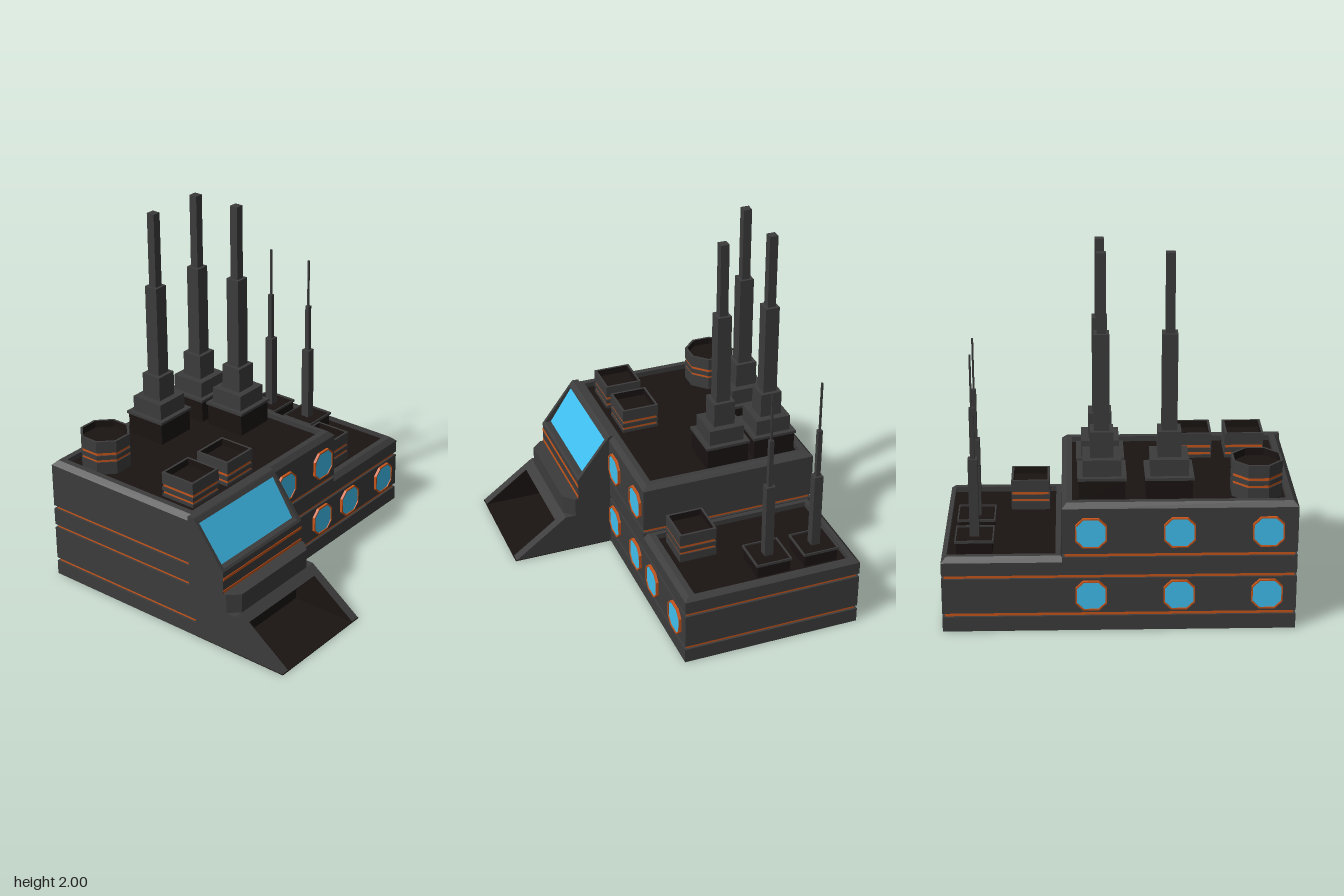
import * as THREE from 'three';

const mat = (color, side = THREE.FrontSide) =>
  new THREE.MeshStandardMaterial({ color, side, flatShading: true });
const GREY = mat(0x3c3c3c), DARK = mat(0x1a1412), ORANGE = mat(0xc8551a), BLUE = mat(0x40c0f0);

export function createModel() {
  const model = new THREE.Group();
  const add = (name, geo, material, parent = model) => {
    const mesh = new THREE.Mesh(geo, material);
    mesh.name = name;
    parent.add(mesh);
    return mesh;
  };
  const group = (name, x, y, z) => {
    const g = new THREE.Group();
    g.name = name;
    g.position.set(x, y, z);
    model.add(g);
    return g;
  };
  // Box given by its limits
  const block = (name, m, x0, x1, y0, y1, z0, z1, parent) =>
    add(name, new THREE.BoxGeometry(x1 - x0, y1 - y0, z1 - z0), m, parent)
      .position.set((x0 + x1) / 2, (y0 + y1) / 2, (z0 + z1) / 2);
  const shapeOf = pts => new THREE.Shape(pts.map(p => new THREE.Vector2(p[0], p[1])));
  // Side profile of [z, y] points, extruded between x0 and x1
  const profile = (name, m, pts, x0, x1) => {
    const geo = new THREE.ExtrudeGeometry(shapeOf(pts), { depth: x1 - x0, bevelEnabled: false });
    add(name, geo.rotateY(-Math.PI / 2).translate(x1, 0, 0), m);
  };
  // Skin through rectangular loops [x0, x1, z0, z1, y]
  const loft = (name, m, loops) => {
    const pos = [], idx = [];
    loops.forEach(([x0, x1, z0, z1, y]) => pos.push(x0, y, z1, x1, y, z1, x1, y, z0, x0, y, z0));
    for (let l = 0; l < loops.length - 1; l++)
      for (let i = 0; i < 4; i++) {
        const a = l * 4 + i, b = l * 4 + (i + 1) % 4;
        idx.push(a, b, b + 4, a, b + 4, a + 4);
      }
    const geo = new THREE.BufferGeometry();
    geo.setAttribute('position', new THREE.Float32BufferAttribute(pos, 3));
    geo.setIndex(idx);
    const flat = geo.toNonIndexed();
    flat.computeVertexNormals();
    add(name, flat, m);
  };

  // Walls in layers, with orange strips set into the grooves
  const L = -0.93, R = 0.925, T = 0.295, B = -0.79, F = 0.22, g = 0.012;
  const strip = (x1, y0, y1) => block('grooveStrip', ORANGE, L + g, x1 - g, y0, y1, B + g, F - g);
  block('foundation', GREY, L, R, 0, 0.083, B, F);
  strip(R, 0.083, 0.104);
  block('lowerWall', GREY, L, R, 0.104, 0.3, B, F);
  strip(R, 0.3, 0.32);
  block('middleWall', GREY, L, T, 0.32, 0.42, B, F);
  strip(T, 0.42, 0.44);

  // Chamfered parapets around the sunken roofs
  const parapet = (name, x0, x1, yBase, yTop, inner, roofY) => {
    const c = 0.027;
    loft(name, GREY, [
      [x0, x1, B, F, yBase], [x0, x1, B, F, yTop - c],
      [x0 + c, x1 - c, B + c, F - c, yTop], [...inner, yTop], [...inner, roofY]]);
    block(name + 'Roof', DARK, inner[0], inner[1], yBase, roofY, inner[2], inner[3]);
  };
  parapet('tallParapet', L, T, 0.44, 0.72, [-0.87, 0.24, -0.73, 0.16], 0.69);
  parapet('lowParapet', 0.275, R, 0.32, 0.42, [0.33, 0.896, -0.735, 0.16], 0.39);
  block('upperFloor', GREY, L, T, 0.44, 0.445, B, F);
  block('lowFloor', GREY, T, R, 0.32, 0.325, B, F);

  // Octagonal windows on the front and back walls
  const octagon = (w, h, c) => [[-w, c - h], [c - w, -h], [w - c, -h], [w, c - h],
    [w, h - c], [w - c, h], [c - w, h], [-w, h - c]];
  const windowAt = (x, y, back) => {
    const win = group('window', x, y, back ? B : F);
    if (back) win.rotation.y = Math.PI;
    const rim = shapeOf(octagon(0.082, 0.083, 0.04));
    rim.holes.push(shapeOf(octagon(0.075, 0.076, 0.037)));
    add('windowFrame', new THREE.ExtrudeGeometry(rim, { depth: 0.015, bevelEnabled: false }), ORANGE, win);
    add('windowPane', new THREE.ExtrudeGeometry(shapeOf(octagon(0.076, 0.077, 0.037)),
      { depth: 0.01, bevelEnabled: false }), BLUE, win);
  };
  for (const x of [-0.16, 0.18, 0.445, 0.785]) windowAt(x, 0.205, false);
  for (const x of [-0.16, 0.18]) windowAt(x, 0.56, false);
  for (const x of [-0.775, -0.315, 0.145]) for (const y of [0.205, 0.56]) windowAt(x, y, true);

  // Front wing with a sloped, sunken picture window between two cheeks
  const E = -0.263;
  const cheek = [[0.18, 0.23], [0.41, 0.23], [0.41, 0.466], [0.222, 0.715], [0.215, 0.72], [0.18, 0.72]];
  profile('wingCheek', GREY, cheek, L, -0.91);
  profile('wingCheek', GREY, cheek, -0.285, E);
  profile('wingBody', GREY, [[0.18, 0.23], [0.41, 0.23], [0.41, 0.466], [0.4, 0.478], [0.36, 0.478],
    [0.224, 0.69], [0.24, 0.692], [0.222, 0.715], [0.215, 0.72], [0.18, 0.72]], -0.91, -0.285);
  profile('pictureWindow', BLUE, [[0.35, 0.479], [0.365, 0.479], [0.229, 0.69], [0.214, 0.69]], -0.909, -0.286);
  for (const y of [0.343, 0.416]) block('wingStrip', ORANGE, L + 0.001, E - 0.001, y, y + 0.016, 0.38, 0.413);

  // Lintel block with cut corners above the entrance
  const plan = [[L, -0.3], [E, -0.3], [E, -0.43], [-0.32, -0.49], [-0.875, -0.49], [L, -0.43]];
  add('lintelBlock', new THREE.ExtrudeGeometry(shapeOf(plan), { depth: 0.11, bevelEnabled: false })
    .rotateX(-Math.PI / 2).translate(0, 0.23, 0), GREY);

  // Sloped entrance with a dark, open inside
  const wedge = [[0.22, 0.003], [0.797, 0.003], [0.49, 0.23], [0.22, 0.23]];
  const lining = [[0.22, 0.003], [0.795, 0.003], [0.543, 0.19], [0.22, 0.19]];
  profile('entranceSide', GREY, wedge, L, -0.88);
  profile('entranceSide', GREY, wedge, -0.315, E);
  profile('entranceLining', DARK, lining, -0.88, -0.875);
  profile('entranceLining', DARK, lining, -0.32, -0.315);
  profile('entranceLintel', GREY, [[0.22, 0.193], [0.541, 0.193], [0.49, 0.23], [0.22, 0.23]], -0.88, -0.315);
  block('entranceCeiling', DARK, -0.88, -0.315, 0.188, 0.193, 0.22, 0.54);
  block('entranceBack', DARK, -0.88, -0.315, 0.003, 0.19, 0.22, 0.42);
  block('entranceFloor', DARK, L, E, 0, 0.004, 0.22, 0.8);

  // Stepped square towers: [width, bottom, top, material]
  const tower = (name, x, z, steps) => {
    const t = group(name, x, 0, z);
    steps.forEach(([w, y0, y1, m], i) =>
      block(name + (i ? 'Stage' : 'Base'), m, -w / 2, w / 2, y0, y1, -w / 2, w / 2, t));
    return t;
  };
  for (const [x, z] of [[-0.265, -0.59], [0.085, -0.59], [0.09, -0.31]])
    tower('chimney', x, z, [[0.24, 0.68, 0.815, DARK], [0.255, 0.815, 0.83, GREY], [0.2, 0.83, 0.92, GREY],
      [0.122, 0.92, 1.06, GREY], [0.08, 1.06, 1.58, GREY], [0.048, 1.58, 2, GREY]]);
  for (const z of [-0.59, -0.315]) {
    const a = tower('antenna', 0.755, z, [[0.19, 0.38, 0.465, DARK], [0.05, 0.46, 0.9, GREY],
      [0.025, 0.9, 1.18, GREY], [0.01, 1.18, 1.465, GREY]]);
    const s = 0.102, rim = shapeOf([[-s, -s], [s, -s], [s, s], [-s, s]]), h = s - 0.007;
    rim.holes.push(shapeOf([[-h, -h], [h, -h], [h, h], [-h, h]]));
    add('antennaBaseRim', new THREE.ExtrudeGeometry(rim, { depth: 0.014, bevelEnabled: false })
      .rotateX(-Math.PI / 2).translate(0, 0.46, 0), GREY, a);
  }

  // Hollow roof vents with two orange strips
  const vent = (sides, width, x, z, y0, top) => {
    const v = group('roofVent', x, 0, z), k = 1 / Math.cos(Math.PI / sides);
    const ring = (name, m, pts) => add(name, new THREE.LatheGeometry(
      pts.map(([r, y]) => new THREE.Vector2(r * k, y)), sides, Math.PI / sides), m, v);
    const r = width / 2, n = r - 0.006, i = r - 0.013;
    const a = top - 0.125, b = top - 0.11, c = top - 0.085, d = top - 0.068;
    ring('ventBase', GREY, [[r, y0], [r, a], [n, a]]);
    ring('ventStrip', ORANGE, [[n, a], [n, b]]);
    ring('ventMiddle', GREY, [[n, b], [r, b], [r, c], [n, c]]);
    ring('ventStrip', ORANGE, [[n, c], [n, d]]);
    ring('ventRim', GREY, [[n, d], [r, d], [r, top], [i, top]]);
    ring('ventInside', DARK, [[i, top], [i, top - 0.04], [0, top - 0.04]]);
  };
  vent(4, 0.212, -0.705, 0.01, 0.68, 0.833);
  vent(4, 0.212, -0.42, 0.01, 0.68, 0.833);
  vent(4, 0.212, 0.47, 0.01, 0.38, 0.563);
  vent(8, 0.262, -0.725, -0.575, 0.68, 0.888);

  return model;
}
